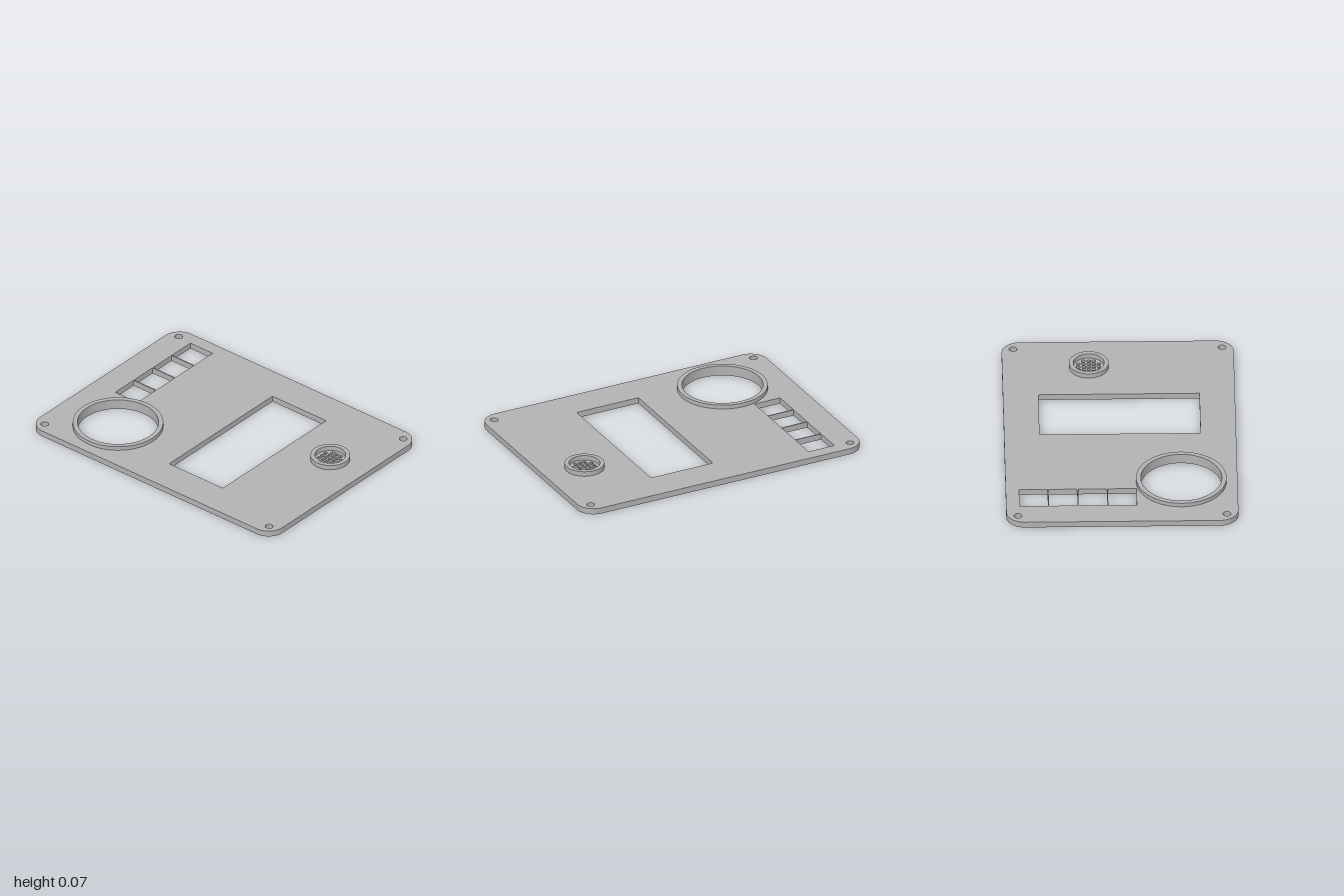
import * as THREE from 'three';
import { toCreasedNormals } from 'three/addons/utils/BufferGeometryUtils.js';

const T = 0.04; // plate thickness

// Outlines are drawn in (x, z) seen from above; shape y is -z.
const circle = (x, z, r, Type = THREE.Path) => new Type().absarc(x, -z, r, 0, Math.PI * 2, false);

function rect(x0, z0, x1, z1) {
  const p = new THREE.Path();
  p.moveTo(x0, -z0);
  p.lineTo(x1, -z0);
  p.lineTo(x1, -z1);
  p.lineTo(x0, -z1);
  p.closePath();
  return p;
}

function roundedRect(w, d, r) {
  const s = new THREE.Shape();
  s.absarc(w - r, d - r, r, 0, Math.PI / 2, false);
  s.absarc(-w + r, d - r, r, Math.PI / 2, Math.PI, false);
  s.absarc(-w + r, -d + r, r, Math.PI, Math.PI * 1.5, false);
  s.absarc(w - r, -d + r, r, Math.PI * 1.5, Math.PI * 2, false);
  s.closePath();
  return s;
}

// Upright slab from y0 to y1 with smooth curved walls and sharp rims
function slab(name, shape, holes, y0, y1, material) {
  shape.holes.push(...holes);
  const geo = new THREE.ExtrudeGeometry(shape, { depth: y1 - y0, bevelEnabled: false, curveSegments: 32 });
  geo.rotateX(-Math.PI / 2);
  geo.translate(0, y0, 0);
  const mesh = new THREE.Mesh(toCreasedNormals(geo, 0.6), material);
  mesh.name = name;
  return mesh;
}

export function createModel() {
  const group = new THREE.Group();
  group.name = 'panel';
  const grey = new THREE.MeshStandardMaterial({ color: 0xb2b2b2 });
  grey.name = 'grey';

  const dial = { x: -0.379, z: -0.558, r: 0.257, R: 0.287 };
  const vent = { x: 0.186, z: 0.722, r: 0.098, R: 0.126 };

  // Face plate cut-outs: dial, vent, display and corner screw holes
  const cuts = [
    circle(dial.x, dial.z, dial.r),
    circle(vent.x, vent.z, vent.r),
    rect(-0.51, -0.026, 0.51, 0.416),
  ];
  for (const x of [-0.662, 0.662])
    for (const z of [-0.926, 0.926]) cuts.push(circle(x, z, 0.025));

  // Row of four button windows separated by thin bars
  const left = -0.093, pitch = 0.1875, bar = 0.007;
  for (let i = 0; i < 4; i++) {
    const x = left + i * pitch;
    cuts.push(rect(x, -0.82, x + pitch - bar, -0.637));
  }
  group.add(slab('facePlate', roundedRect(0.735, 1, 0.115), cuts, 0, T, grey));

  // Raised collars around the dial and the vent
  group.add(slab('dialCollar', circle(dial.x, dial.z, dial.R, THREE.Shape),
    [circle(dial.x, dial.z, dial.r)], T, 0.067, grey));
  group.add(slab('ventCollar', circle(vent.x, vent.z, vent.R, THREE.Shape),
    [circle(vent.x, vent.z, vent.r)], T, 0.072, grey));

  // Vent grille: square perforations on a 5 x 5 grid without corners
  const perforations = [], step = 0.0325, h = 0.011;
  for (let i = -2; i <= 2; i++)
    for (let j = -2; j <= 2; j++) {
      if (Math.abs(i * j) === 4) continue;
      const x = vent.x + i * step, z = vent.z + j * step;
      perforations.push(rect(x - h, z - h, x + h, z + h));
    }
  group.add(slab('ventGrille', circle(vent.x, vent.z, vent.r, THREE.Shape), perforations, 0, T, grey));

  return group;
}
